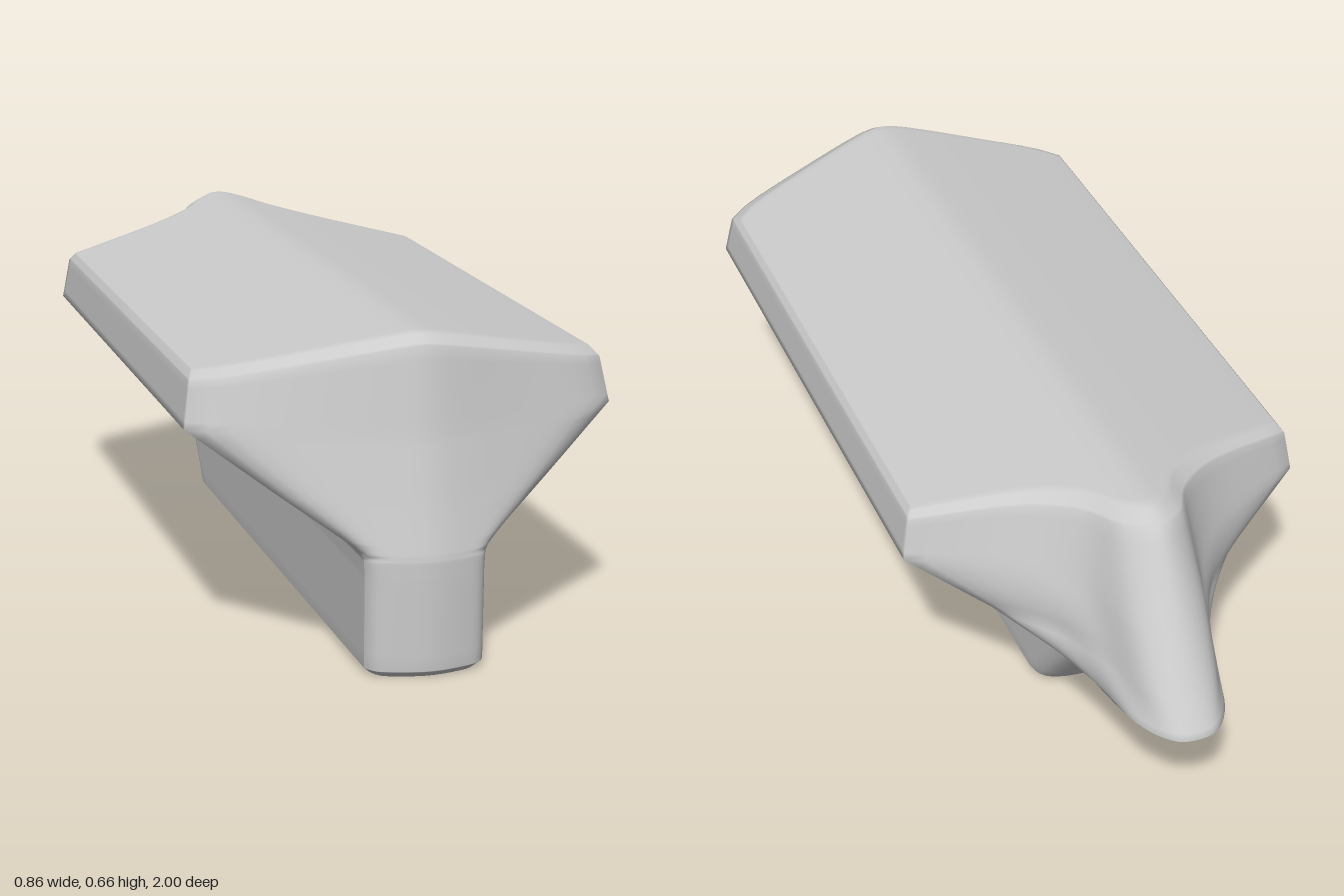
import * as THREE from 'three';
import { mergeVertices } from 'three/addons/utils/BufferGeometryUtils.js';

const { lerp, smoothstep } = THREE.MathUtils;
const ACROSS = 40, ALONG = 16, STEPS = 6;

// A horizontal section: height at the side edge, extra height at the ridge, z of the nose,
// and the back outline from the side corner to the centre line as [x, z]
const section = (y, rise, nose, back) => ({ y, rise, nose, back });

// A stem section has a rounded back end
const stem = (y, width, nose, end) => section(y, 0, nose,
  [[width, end + 0.1], [0.98 * width, end + 0.055], [0.84 * width, end + 0.022], [0.5 * width, end + 0.005], [0, end]]);

const SECTIONS = [
  // Stem
  stem(0.004, 0.105, 0.982, -0.44),
  stem(0.018, 0.12, 0.997, -0.465),
  stem(0.2, 0.12, 1, -0.62),
  stem(0.235, 0.122, 1, -0.665),
  // Tail underside
  section(0.248, 0, 0.998, [[0.129, -0.62], [0.113, -0.76], [0.087, -0.88], [0.046, -0.945], [0, -0.96]]),
  section(0.27, 0, 0.993, [[0.155, -0.66], [0.12, -0.79], [0.096, -0.91], [0.052, -0.983], [0, -1]]),
  // Flared body with the tail narrowing upwards
  section(0.35, 0, 0.975, [[0.268, -0.56], [0.17, -0.67], [0.115, -0.79], [0.07, -0.915], [0, -0.95]]),
  section(0.47, 0, 0.95, [[0.432, -0.495], [0.24, -0.595], [0.13, -0.7], [0.075, -0.835], [0, -0.88]]),
  // Roof edge and its rounding
  section(0.555, 0.085, 0.925, [[0.417, -0.485], [0.22, -0.57], [0.115, -0.655], [0.062, -0.745], [0, -0.782]]),
  section(0.569, 0.092, 0.888, [[0.404, -0.47], [0.21, -0.545], [0.105, -0.615], [0.05, -0.695], [0, -0.73]]),
];

// Mirrors the back outline, samples it smoothly and adds the blunt wedge of the front
function sampleSection({ y, rise, nose, back }) {
  const width = back[0][0];
  const left = back.map(([x, z]) => new THREE.Vector3(x, 0, z));
  const right = back.slice(0, -1).reverse().map(([x, z]) => new THREE.Vector3(-x, 0, z));
  const curve = new THREE.CatmullRomCurve3([...left, ...right], false, 'catmullrom', 0.5);
  return curve.getPoints(ACROSS).map(({ x, z }) => {
    const wedge = 0.36 * (Math.hypot(x, 0.05) - 0.05);
    const corner = 0.025 * Math.abs(x / width) ** 12;
    const roof = Math.max(0, 1.07 - Math.hypot(x, 0.03) / 0.41);
    return { x, y: y + rise * roof, back: z, front: nose - wedge - corner };
  });
}

function buildBody() {
  // Fill in rows between the main sections
  const key = SECTIONS.map(sampleSection);
  const rows = [key[0]];
  for (let s = 1; s < key.length; s++) {
    for (let k = 1; k <= STEPS; k++) {
      const t = k / STEPS;
      rows.push(key[s].map((b, i) => {
        const a = key[s - 1][i];
        return {
          x: lerp(a.x, b.x, t), y: lerp(a.y, b.y, t),
          back: lerp(a.back, b.back, t), front: lerp(a.front, b.front, t),
        };
      }));
    }
  }

  // Closed path around a section: back, right side, front, left side
  const path = [];
  for (let i = 0; i < ACROSS; i++) path.push([i, 0]);
  for (let j = 0; j < ALONG; j++) path.push([ACROSS, j]);
  for (let i = ACROSS; i > 0; i--) path.push([i, ALONG]);
  for (let j = ALONG; j > 0; j--) path.push([0, j]);

  const positions = [];
  const point = (row, [i, j]) => {
    const p = row[i];
    return [p.x, p.y, lerp(p.back, p.front, smoothstep(j / ALONG, 0, 1))];
  };
  const quad = (a, b, c, d) => positions.push(...a, ...b, ...c, ...a, ...c, ...d);

  // Walls
  for (let r = 0; r + 1 < rows.length; r++) {
    path.forEach((p, k) => {
      const q = path[(k + 1) % path.length];
      quad(point(rows[r], p), point(rows[r], q), point(rows[r + 1], q), point(rows[r + 1], p));
    });
  }

  // Roof and underside
  const bottom = rows[0], top = rows[rows.length - 1];
  for (let i = 0; i < ACROSS; i++) {
    for (let j = 0; j < ALONG; j++) {
      const corners = [[i, j], [i + 1, j], [i + 1, j + 1], [i, j + 1]];
      quad(...corners.map((p) => point(top, p)));
      quad(...corners.reverse().map((p) => point(bottom, p)));
    }
  }

  const soup = new THREE.BufferGeometry();
  soup.setAttribute('position', new THREE.Float32BufferAttribute(positions, 3));
  const geometry = mergeVertices(soup, 1e-5);
  geometry.computeVertexNormals();
  return geometry;
}

export function createModel() {
  const group = new THREE.Group();
  group.name = 'model';
  const body = new THREE.Mesh(buildBody(), new THREE.MeshStandardMaterial({ color: 0xcccccc }));
  body.name = 'body';
  group.add(body);
  return group;
}
